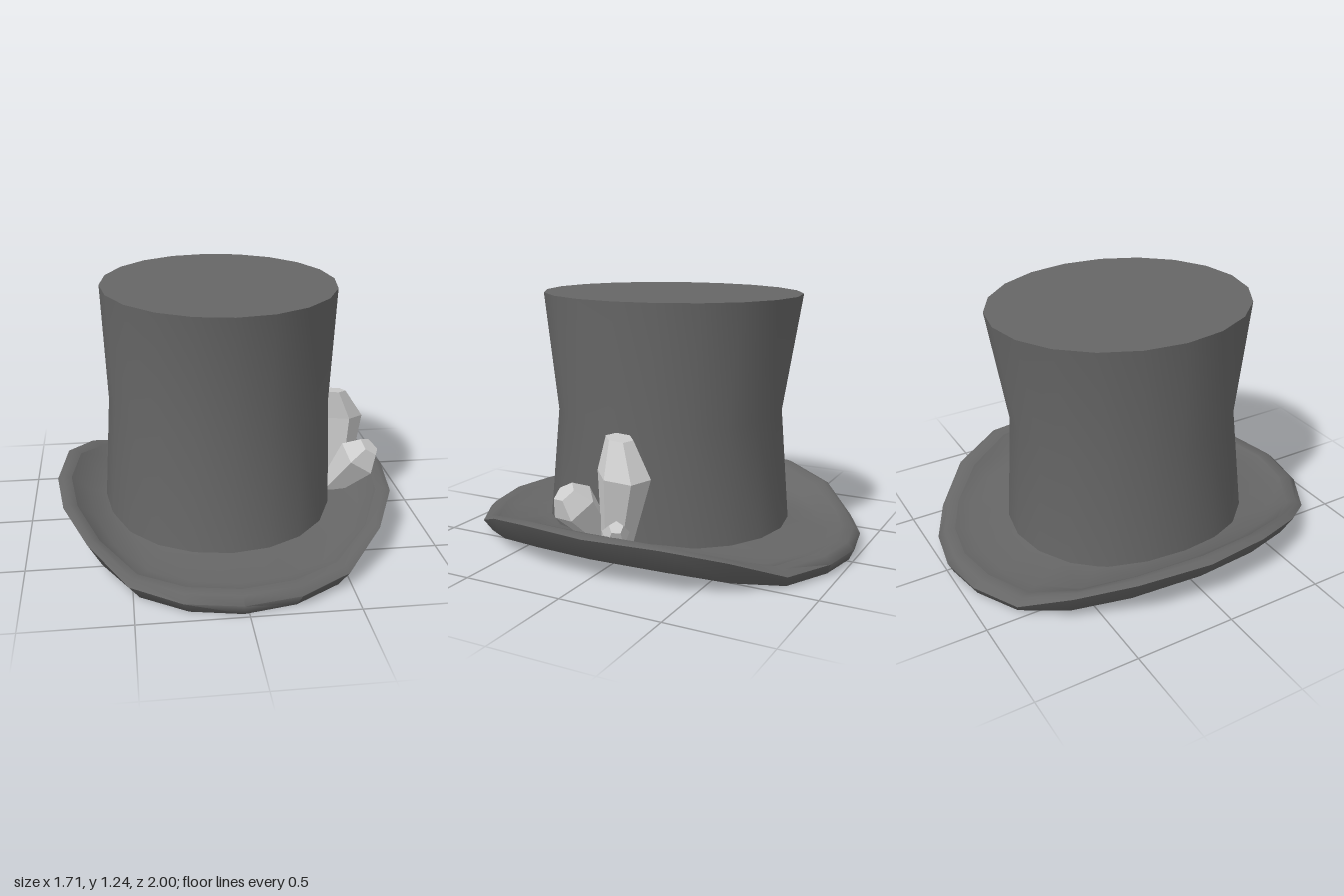
import * as THREE from 'three';
import { toCreasedNormals } from 'three/addons/utils/BufferGeometryUtils.js';

const SIDES = 20;

// Skin rings of points; the outside faces outwards as the rings go up
function loft(rings, pointAt) {
  const pos = [], index = [];
  for (const ring of rings) {
    for (let j = 0; j < SIDES; j++) pos.push(...pointAt(ring, (j / SIDES) * Math.PI * 2));
  }
  for (let i = 0; i < rings.length - 1; i++) {
    for (let j = 0; j < SIDES; j++) {
      const a = i * SIDES + j, b = i * SIDES + ((j + 1) % SIDES);
      index.push(a, b, a + SIDES, b, b + SIDES, a + SIDES);
    }
  }
  const geo = new THREE.BufferGeometry();
  geo.setAttribute('position', new THREE.Float32BufferAttribute(pos, 3));
  geo.setIndex(index);
  return toCreasedNormals(geo, 1.3);
}

// Brim outline: an oval, slightly squarer at the back, whose sides curl up
function brimPoint([rx, rz, y, curl], a) {
  const s = Math.sin(a), c = Math.cos(a);
  const back = c < 0;
  const x = rx * Math.sign(s) * Math.abs(s) ** (back ? 1.1 : 1);
  const z = rz * Math.sign(c) * Math.abs(c) ** (back ? 0.85 : 0.95);
  const lift = curl * THREE.MathUtils.smoothstep(Math.abs(x), 0.43, 0.85);
  return [x - 0.03 * c * c * rx, y + lift, z - 0.02 * s * s * rz];
}

function crownPoint([rx, rz, y, cx, cz], a) {
  return [cx + rx * Math.sin(a), y, cz + rz * Math.cos(a)];
}

// Faceted shard growing from base to tip, widest at its shoulder;
// shift moves the tip facet sideways for an uneven cut
function crystal(name, base, tip, radius, sides, turn, shift, material) {
  const from = new THREE.Vector3(...base);
  const axis = new THREE.Vector3(...tip).sub(from);
  const len = axis.length();
  const profile = [[0, 0], [radius * 0.5, 0], [radius, len * 0.74], [radius * 0.52, len], [0, len]]
    .map(([r, h]) => new THREE.Vector2(r, h));
  const geo = new THREE.LatheGeometry(profile, sides, turn);
  const p = geo.attributes.position;
  for (let i = 0; i < p.count; i++) {
    if (p.getY(i) > len * 0.9) {
      p.setXYZ(i, p.getX(i) + shift[0], p.getY(i) + shift[1], p.getZ(i) + shift[2]);
    }
  }
  const mesh = new THREE.Mesh(geo, material);
  mesh.quaternion.setFromUnitVectors(new THREE.Vector3(0, 1, 0), axis.normalize());
  mesh.position.copy(from);
  mesh.name = name;
  return mesh;
}

export function createModel() {
  const model = new THREE.Group();
  model.name = 'topHat';
  const felt = new THREE.MeshStandardMaterial({ color: 0x666666 });
  const stone = new THREE.MeshStandardMaterial({ color: 0xcccccc, flatShading: true });

  function addPart(name, rings, pointAt) {
    const mesh = new THREE.Mesh(loft(rings, pointAt), felt);
    mesh.name = name;
    model.add(mesh);
  }

  // Slightly hollow underside and rolled rim [rx, rz, y, curl]
  addPart('brimRim', [
    [0, 0, 0.035, 0.115],
    [0.5, 0.6, 0.033, 0.115],
    [0.65, 0.8, 0.02, 0.115],
    [0.775, 0.975, 0, 0.115],
    [0.855, 1, 0.055, 0.17],
    [0.825, 0.965, 0.087, 0.157],
    [0.785, 0.91, 0.086, 0.155],
  ], brimPoint);

  // Upper surface, dipping inside the rim and rising to the crown
  addPart('brimTop', [
    [0.785, 0.91, 0.086, 0.155],
    [0.7, 0.84, 0.07, 0.13],
    [0.59, 0.64, 0.1, 0.1],
    [0, 0, 0.1, 0.1],
  ], brimPoint);

  // Crown: pinched at the waist, flat on top [rx, rz, y, centreX, centreZ]
  addPart('crown', [
    [0.582, 0.625, 0.08, -0.03, 0],
    [0.555, 0.567, 0.66, -0.02, -0.013],
    [0.58, 0.657, 1.24, -0.02, -0.022],
    [0, 0, 1.24, -0.02, -0.022],
  ], crownPoint);

  // Cluster of crystals on the left side of the brim
  const crystals = new THREE.Group();
  crystals.name = 'crystalCluster';
  crystals.add(
    crystal('tallCrystal', [0.62, 0.07, -0.06], [0.64, 0.62, -0.14], 0.125, 6, 0.25, [-0.05, 0, 0.07], stone),
    crystal('mediumCrystal', [0.57, 0.13, 0.03], [0.745, 0.39, 0.13], 0.112, 5, 0.6, [0, 0, 0], stone),
    crystal('smallCrystal', [0.63, 0.08, -0.06], [0.77, 0.275, -0.155], 0.065, 5, 0.2, [0, 0, 0], stone),
  );
  model.add(crystals);
  return model;
}
